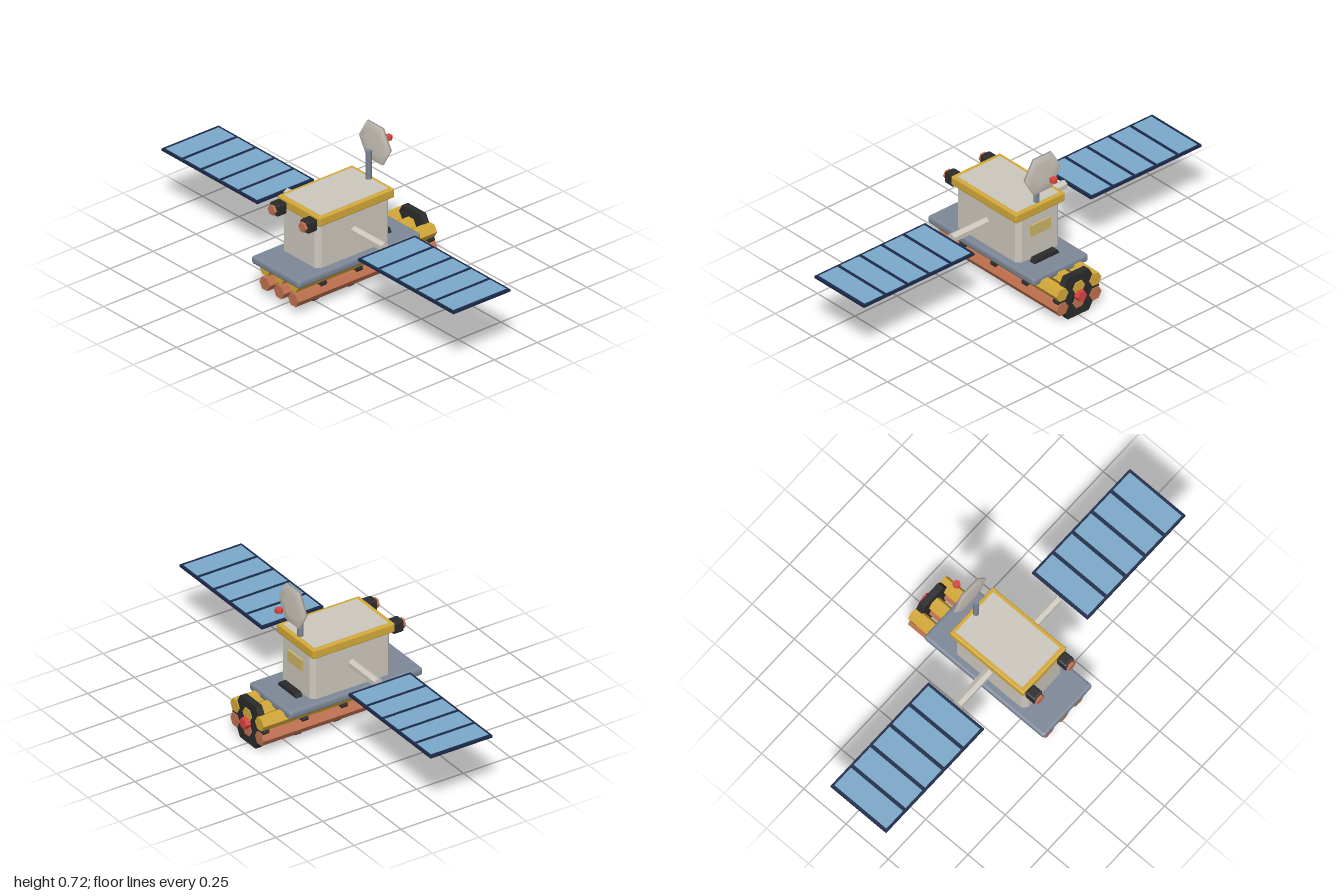
import * as THREE from 'three';
import { RoundedBoxGeometry } from 'three/addons/geometries/RoundedBoxGeometry.js';

const colours = {
  gold: 0xd4a938, copper: 0xc0714f, hullGrey: 0xcdc7bd, steel: 0x7c8797, black: 0x2b2b2c,
  red: 0xd9443f, cellBlue: 0x7ba8c9, frameNavy: 0x1b2a49, paleGold: 0xcdb668,
};

export function createModel() {
  const model = new THREE.Group();
  model.name = 'satellite';
  const mats = {};
  for (const [name, color] of Object.entries(colours)) {
    mats[name] = new THREE.MeshStandardMaterial({ color });
    mats[name].name = name;
  }

  const add = (name, geo, mat, x, y, z, parent = model) => {
    const mesh = new THREE.Mesh(geo, mats[mat]);
    mesh.name = name;
    mesh.position.set(x, y, z);
    parent.add(mesh);
    return mesh;
  };
  // Give every facet its own normal
  const facet = (geo) => {
    const g = geo.index ? geo.toNonIndexed() : geo;
    g.computeVertexNormals();
    return g;
  };
  const box = (w, h, d) => new THREE.BoxGeometry(w, h, d);
  const bevelBox = (w, h, d, r) => facet(new RoundedBoxGeometry(w, h, d, 1, r));
  // Six-sided prism along the chosen axis
  const hex = (r, length, axis = 'y') => {
    const g = new THREE.CylinderGeometry(r, r, length, 6);
    if (axis === 'x') g.rotateZ(Math.PI / 2);
    if (axis === 'z') g.rotateX(Math.PI / 2);
    return facet(g);
  };

  // Bundle of tubes under the deck
  for (const z of [-0.098, 0, 0.098]) {
    add('upperTube', hex(0.035, 0.807, 'x'), 'gold', -0.001, 0.146, z);
    add('lowerTube', hex(0.035, 0.807, 'x'), 'copper', -0.001, 0.072, z);
  }
  for (const x of [-0.245, -0.037, 0.172, 0.381]) {
    add('tubeBand', hex(0.124, 0.034, 'x'), 'black', x, 0.1074, 0);
  }
  add('endLamp', hex(0.027, 0.027, 'x'), 'red', 0.412, 0.108, 0);

  // Deck
  add('deck', bevelBox(0.711, 0.038, 0.326, 0.011), 'steel', -0.0725, 0.176, 0);

  // Body with cut corners
  const w = 0.213, d = 0.127, c = 0.022;
  const plan = new THREE.Shape([
    [-w + c, -d], [w - c, -d], [w, -d + c], [w, d - c],
    [w - c, d], [-w + c, d], [-w, d - c], [-w, -d + c],
  ].map(([x, y]) => new THREE.Vector2(x, y)));
  const hull = new THREE.ExtrudeGeometry(plan, { depth: 0.24, bevelEnabled: false });
  hull.rotateX(-Math.PI / 2);
  add('body', hull, 'hullGrey', -0.073, 0.19, 0);
  add('lid', bevelBox(0.436, 0.045, 0.29, 0.006), 'gold', -0.073, 0.4375, 0);
  add('lidPanel', box(0.396, 0.003, 0.252), 'hullGrey', -0.071, 0.46, 0);
  add('endWindow', box(0.009, 0.056, 0.114), 'paleGold', 0.1445, 0.342, 0);

  // Thrusters, panel arms and solar wings on both sides
  for (const s of [-1, 1]) {
    add('thruster', bevelBox(0.057, 0.057, 0.057, 0.008), 'black', -0.319, 0.423, s * 0.105);
    add('thrusterNozzle', hex(0.025, 0.03, 'x'), 'copper', -0.345, 0.423, s * 0.105);
    add('wingArm', hex(0.023, 0.235, 'z'), 'hullGrey', -0.073, 0.318, s * 0.2175);

    const wing = new THREE.Group();
    wing.name = 'solarWing';
    wing.position.set(-0.0725, 0.318, s * 0.6725);
    model.add(wing);
    add('wingFrame', box(0.33, 0.012, 0.655), 'frameNavy', 0, 0, 0, wing);
    for (let i = -2; i <= 2; i++) {
      add('solarCell', box(0.308, 0.0015, 0.111), 'cellBlue', 0, 0.0063, i * 0.129, wing);
      add('solarCellUnderside', box(0.308, 0.0015, 0.111), 'cellBlue', 0, -0.0063, i * 0.129, wing);
    }
  }

  // Mast, dish and feed
  add('mast', hex(0.0145, 0.163), 'steel', 0.117, 0.5215, 0);
  const profile = [[0, -0.009], [0.06, -0.0085], [0.106, -0.006], [0.106, 0.006], [0.06, 0.0085], [0, 0.009]];
  const dish = new THREE.LatheGeometry(profile.map(([r, y]) => new THREE.Vector2(r, y)), 6);
  dish.rotateZ(-Math.PI / 2);
  add('dish', dish, 'hullGrey', 0.156, 0.628, 0);
  add('dishFeed', hex(0.0185, 0.019), 'red', 0.232, 0.628, 0);

  return model;
}
